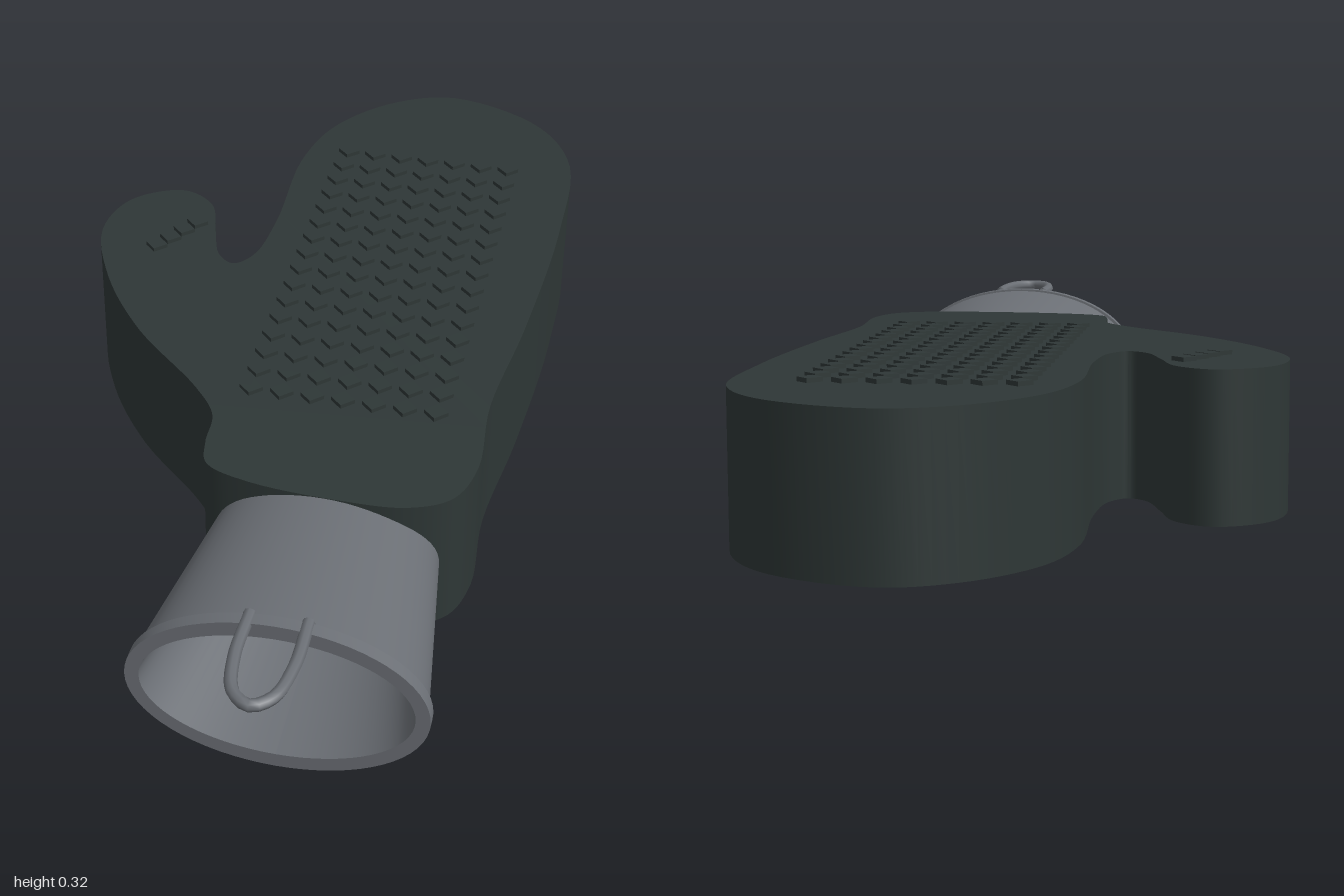
import * as THREE from 'three';
import { toCreasedNormals } from 'three/addons/utils/BufferGeometryUtils.js';

const V = (x, y, z) => new THREE.Vector3(x, y, z);

export function createModel() {
  const group = new THREE.Group();
  const fabric = new THREE.MeshStandardMaterial({ color: 0x2e3736, name: 'dark fabric' });
  const lining = new THREE.MeshStandardMaterial({ color: 0x6b6f75, name: 'grey lining', side: THREE.DoubleSide });
  const add = (name, geometry, material) => {
    const mesh = new THREE.Mesh(geometry, material);
    mesh.name = name;
    group.add(mesh);
    return mesh;
  };

  // Mitten body: smooth outline as [x, z], extruded upward
  const outline = [
    [0.155, -1], [0.345, -0.925], [0.442, -0.78], [0.46, -0.5], [0.44, -0.13], [0.413, 0.13],
    [0.42, 0.32], [0.39, 0.41], [0.32, 0.45], [0.2, 0.458], [0.03, 0.443], [-0.052, 0.41],
    [-0.07, 0.35], [-0.078, 0.27], [-0.13, 0.195], [-0.285, 0.04], [-0.4, -0.13], [-0.46, -0.3],
    [-0.43, -0.42], [-0.335, -0.475], [-0.265, -0.435], [-0.232, -0.34], [-0.2, -0.25],
    [-0.165, -0.226], [-0.133, -0.265], [-0.117, -0.4], [-0.12, -0.66], [-0.078, -0.82], [0.03, -0.95],
  ];
  const curve = new THREE.CatmullRomCurve3(outline.map(([x, z]) => V(x, -z, 0)), true, 'centripetal');
  const shape = new THREE.Shape(curve.getPoints(180).slice(0, -1).map((p) => new THREE.Vector2(p.x, p.y)));
  const body = new THREE.ExtrudeGeometry(shape, { depth: 0.275, bevelEnabled: false });
  body.rotateX(-Math.PI / 2).translate(0, 0.025, 0);
  add('mittenBody', toCreasedNormals(body, 0.6), fabric);

  // Elliptical band through rings of [half width, half height, z]
  const band = (rings) => {
    const g = new THREE.LatheGeometry(rings.map((r, i) => new THREE.Vector2(1, i)), 64);
    const p = g.attributes.position;
    for (let i = 0; i < p.count; i++) {
      const [a, b, z] = rings[Math.round(p.getY(i))];
      p.setXYZ(i, 0.17 + a * p.getX(i), 0.16 - b * p.getZ(i), z);
    }
    g.computeVertexNormals();
    return g;
  };
  add('cuffOuter', band([[0.202, 0.136, 0.4], [0.253, 0.156, 0.792]]), lining);
  add('cuffInner', band([[0.235, 0.132, 0.815], [0.168, 0.103, 0.43]]), lining);

  // Rim hem at the cuff opening
  add('rimBack', band([[0.25, 0.154, 0.79], [0.26, 0.16, 0.79]]), lining);
  add('rimEdge', band([[0.26, 0.16, 0.79], [0.26, 0.16, 0.815]]), lining);
  add('rimFront', band([[0.26, 0.16, 0.815], [0.235, 0.132, 0.815]]), lining);

  // Hanging loop
  const loop = new THREE.CatmullRomCurve3([
    V(0.121, 0.313, 0.785), V(0.121, 0.313, 0.89), V(0.138, 0.313, 0.965), V(0.17, 0.313, 0.989),
    V(0.202, 0.313, 0.965), V(0.219, 0.313, 0.89), V(0.219, 0.313, 0.785),
  ]);
  add('hangingLoop', new THREE.TubeGeometry(loop, 32, 0.011, 8), lining);

  // Raised diamond grips on the palm and thumb
  const grip = toCreasedNormals(new THREE.CylinderGeometry(0.0225, 0.0225, 0.009, 4), 0.3);
  const addGrip = (name, x, z) => add(name, grip, fabric).position.set(x, 0.3035, z);
  for (let row = 0; row < 16; row++) {
    for (let col = 0; col < 7; col++) addGrip('palmGrip', -0.0275 + col * 0.058, -0.708 + row * 0.059);
  }
  for (let i = 0; i < 4; i++) addGrip('thumbGrip', -0.274 - i * 0.0195, -0.355 + i * 0.034);

  return group;
}
